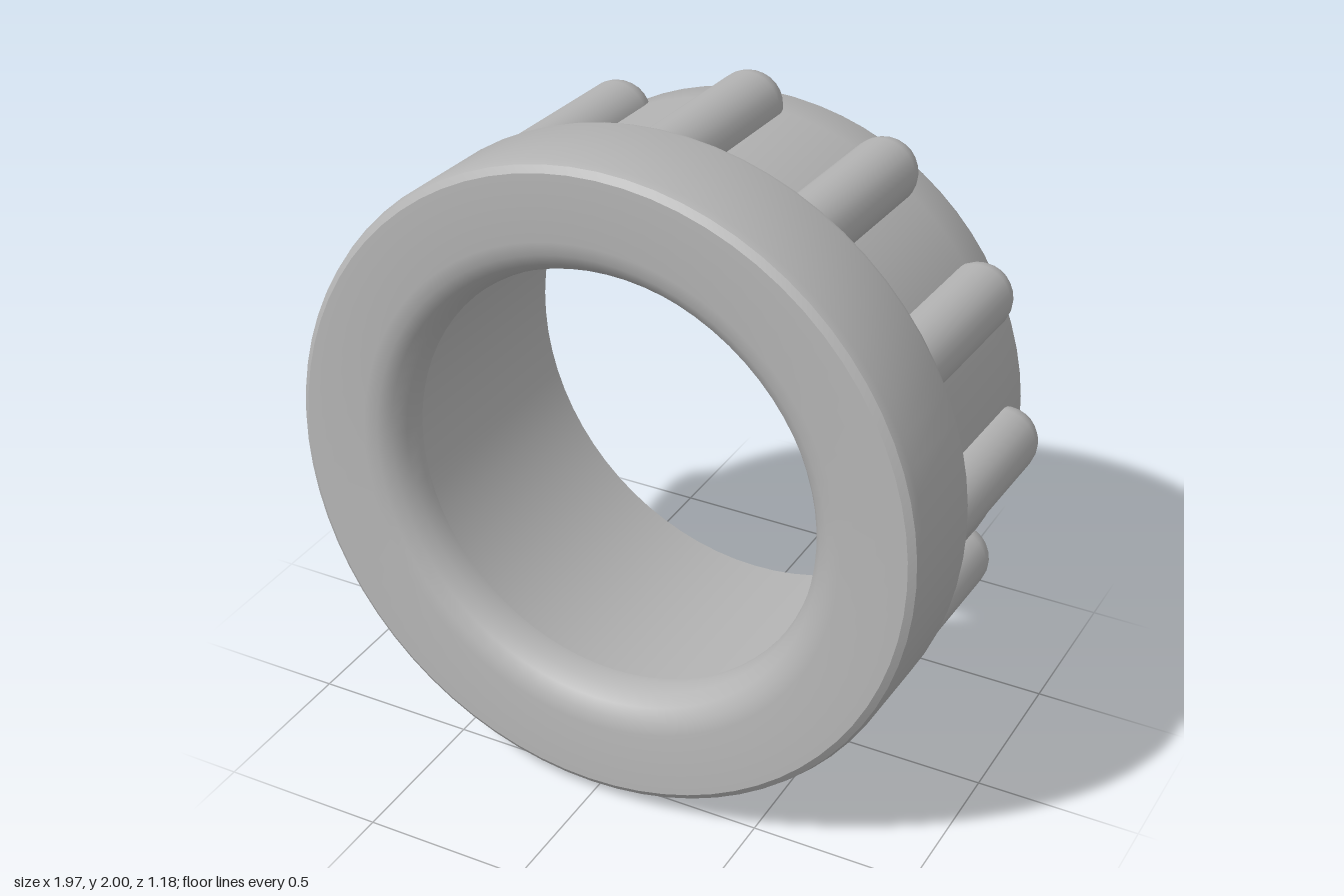
import * as THREE from 'three';
import { toCreasedNormals } from 'three/addons/utils/BufferGeometryUtils.js';

export function createModel() {
  const model = new THREE.Group();
  model.name = 'grippedRing';
  const grey = new THREE.MeshStandardMaterial({ color: 0xb4b4b4 });
  grey.name = 'grey';

  // Everything is built around the z axis, then leaned back slightly.
  const ring = new THREE.Group();
  ring.name = 'ring';
  ring.position.y = 0.992;
  ring.rotation.x = -THREE.MathUtils.degToRad(3);
  model.add(ring);

  // Closed wall section: [radius, distance along the axis], back to front outside, then back through the bore.
  const section = [
    [0.795, -0.545], [0.83, -0.545], [0.85, -0.535], [0.862, -0.51], // rear rim
    [0.868, -0.38], [0.868, 0.09], [0.965, 0.18],                    // barrel and shoulder
    [0.979, 0.19], [0.983, 0.205], [0.983, 0.505], [0.975, 0.53], [0.955, 0.545], // collar
    [0.76, 0.545], [0.72, 0.538], [0.685, 0.515], [0.658, 0.475], [0.647, 0.43],  // rounded front opening
    [0.647, 0.41], [0.73, 0.41], [0.75, 0.385], [0.795, 0.375], [0.795, -0.545]   // inner ledge and bore
  ].map(([r, s]) => new THREE.Vector2(r, s));
  const bodyGeometry = toCreasedNormals(new THREE.LatheGeometry(section, 72), 0.5);
  bodyGeometry.rotateX(Math.PI / 2);
  const body = new THREE.Mesh(bodyGeometry, grey);
  body.name = 'body';
  ring.add(body);

  // Twelve round-ended grip ribs half sunk into the barrel.
  const ribRadius = 0.103;
  const ribGeometry = new THREE.CapsuleGeometry(ribRadius, 0.57, 8, 24);
  ribGeometry.rotateX(Math.PI / 2);
  for (let i = 0; i < 12; i++) {
    const angle = (i / 12) * Math.PI * 2;
    const rib = new THREE.Mesh(ribGeometry, grey);
    rib.name = `gripRib${i + 1}`;
    rib.position.set(Math.cos(angle) * 0.869, Math.sin(angle) * 0.869, -0.07);
    // Keep the ribs clear of the bore by flattening their inner direction slightly.
    rib.rotation.z = angle;
    ring.add(rib);
  }

  // Trim the inward half of each rib so it stays inside the wall.
  const p = ribGeometry.attributes.position;
  for (let i = 0; i < p.count; i++) p.setX(i, Math.max(p.getX(i), -0.03));
  p.needsUpdate = true;

  return model;
}
